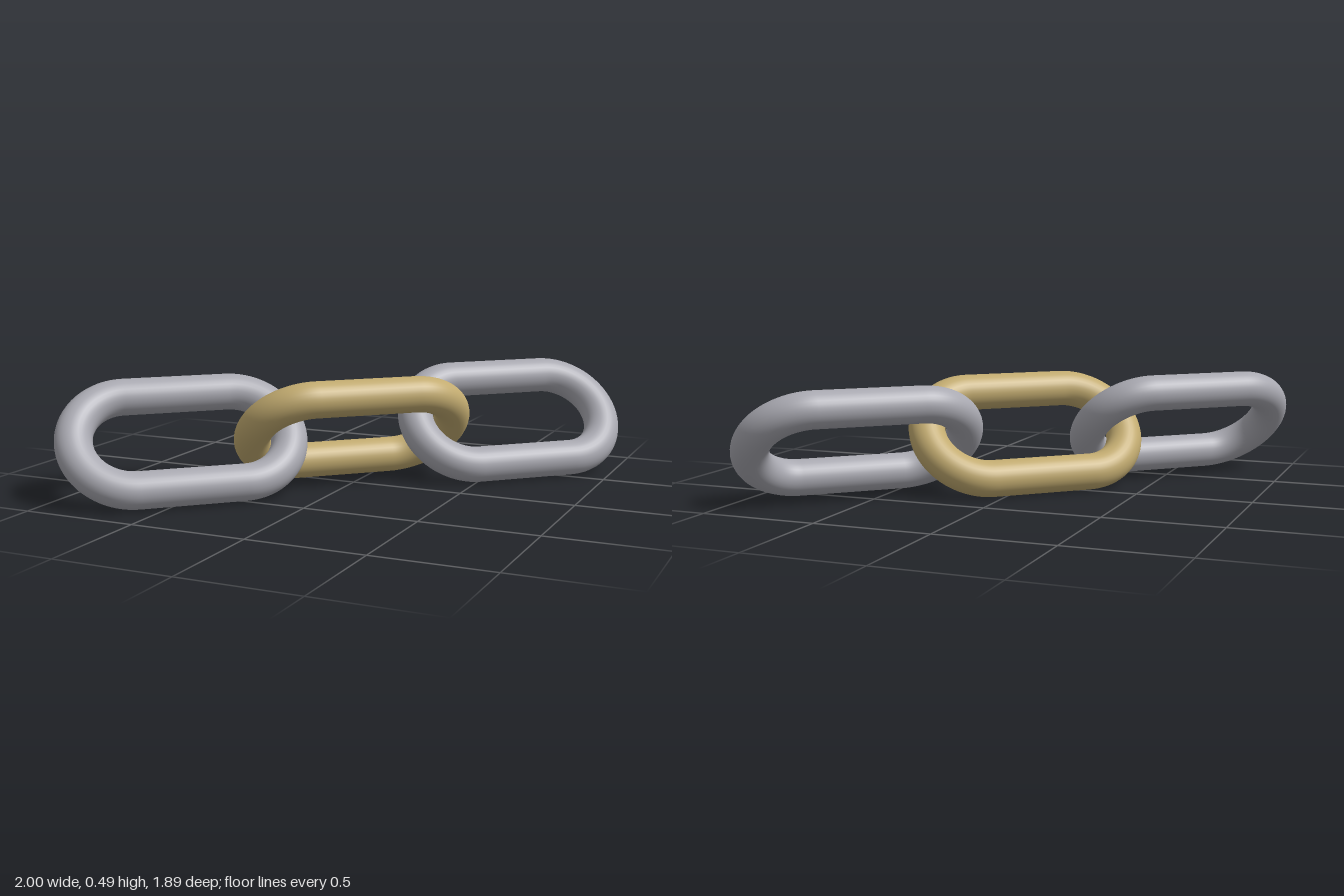
import * as THREE from 'three';

const HALF = 0.223;    // half length of a straight bar
const BEND = 0.234;    // radius of the rounded ends
const WIRE = 0.0785;   // radius of the wire
const PITCH = 0.756;   // distance between link centres
const HEIGHT = 0.2435; // height of the chain's axis

// Closed stadium path: two straight bars joined by half circles, walked at even speed
class LinkPath extends THREE.Curve {
  getPoint(t, target = new THREE.Vector3()) {
    const arc = Math.PI * BEND;
    const half = 2 * HALF + arc;
    let s = (t % 1) * 2 * half;
    const sign = s < half ? 1 : -1;
    if (sign < 0) s -= half;
    if (s < 2 * HALF) return target.set(sign * (s - HALF), -sign * BEND, 0);
    const a = (s - 2 * HALF) / BEND - Math.PI / 2;
    return target.set(sign * (HALF + BEND * Math.cos(a)), sign * BEND * Math.sin(a), 0);
  }
}

export function createModel() {
  const steel = new THREE.MeshStandardMaterial({ color: 0xa9a9b1 });
  steel.name = 'steel grey';
  const brass = new THREE.MeshStandardMaterial({ color: 0xc2ab70 });
  brass.name = 'brass';

  const geometry = new THREE.TubeGeometry(new LinkPath(), 160, WIRE, 32, true);

  // The chain runs diagonally across the ground
  const chain = new THREE.Group();
  chain.name = 'chain';
  chain.rotation.y = THREE.MathUtils.degToRad(42.9);
  chain.position.y = HEIGHT;

  // Neighbouring links lean opposite ways, at right angles to each other
  ['rightLink', 'middleLink', 'leftLink'].forEach((name, i) => {
    const middle = i === 1;
    const link = new THREE.Mesh(geometry, middle ? brass : steel);
    link.name = name;
    link.position.x = (i - 1) * PITCH;
    link.rotation.x = (middle ? 1 : -1) * Math.PI / 4;
    chain.add(link);
  });

  const model = new THREE.Group();
  model.name = 'chainLinks';
  model.add(chain);
  return model;
}
